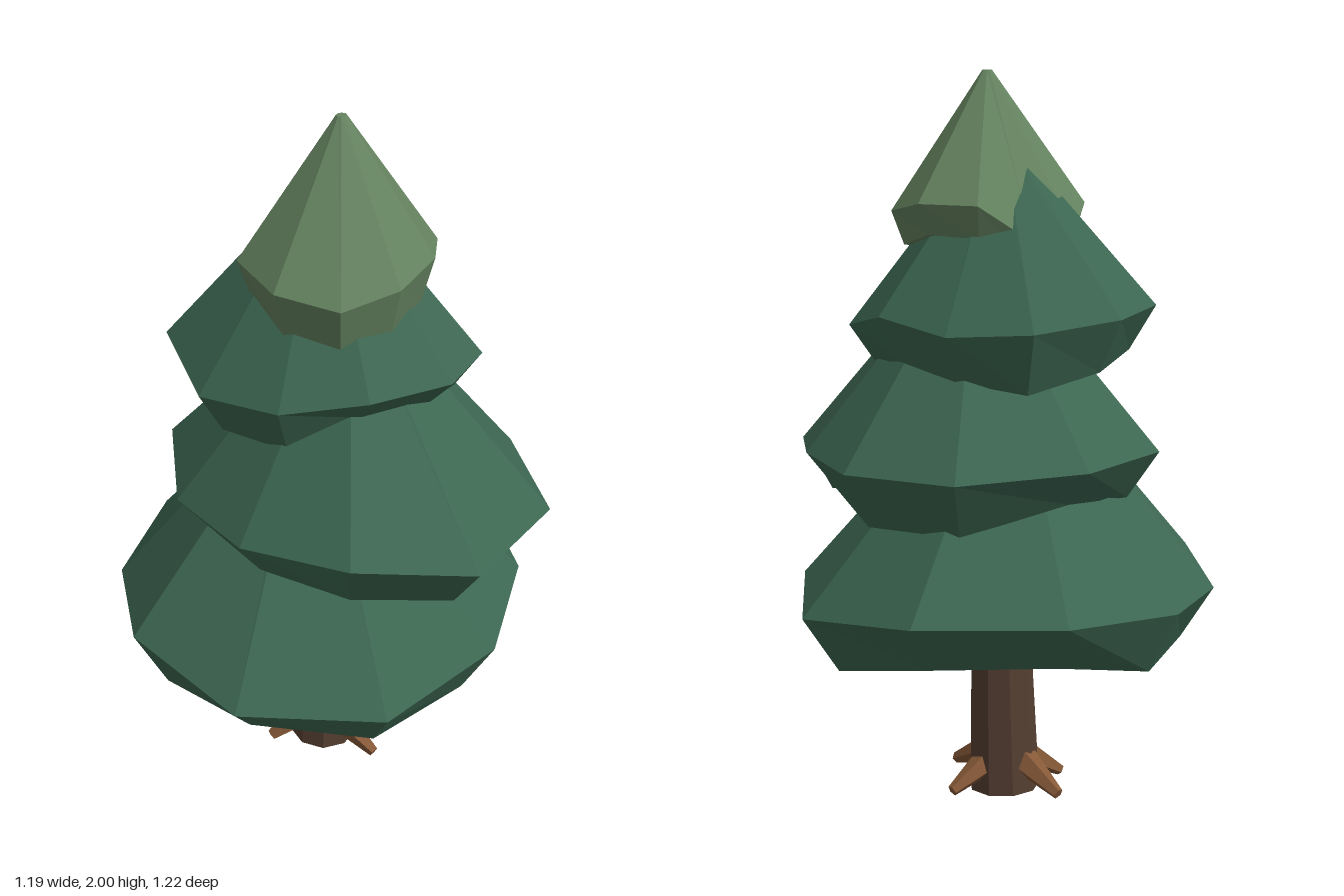
import * as THREE from 'three';

const foliage = new THREE.MeshStandardMaterial({ color: 0x3d6752 });
const crownGreen = new THREE.MeshStandardMaterial({ color: 0x658360 });
const bark = new THREE.MeshStandardMaterial({ color: 0x553f32 });
const wood = new THREE.MeshStandardMaterial({ color: 0x865938 });
Object.entries({ foliage, crownGreen, bark, wood }).forEach(([name, m]) => {
  m.name = name;
  m.flatShading = true;
});

// Faceted skirt on an uneven ten-sided rim: sloping roof, inward lip and closed underside.
// Every corner has its own radius, rim height and lip height; turn is the first corner's angle.
function tier(name, material, { x, z, turn, top, base, shrink, radii, rim, lip }) {
  const ring = (scale, height) => radii.map((r, i) => {
    const a = THREE.MathUtils.degToRad(turn + i * 36);
    return [x + r * scale * Math.cos(a), height(i), z + r * scale * Math.sin(a)];
  });
  const rings = [
    ring(0, () => top),
    ring(0.05, () => top),
    ring(1, (i) => rim[i]),
    ring(shrink, (i) => lip[i]),
    ring(0, () => base),
  ];
  const positions = [];
  for (let k = 0; k < rings.length - 1; k++) {
    for (let i = 0; i < radii.length; i++) {
      const j = (i + 1) % radii.length;
      const [a, b, c, d] = [rings[k][i], rings[k][j], rings[k + 1][j], rings[k + 1][i]];
      if (k > 0) positions.push(...a, ...b, ...d);
      if (k < rings.length - 2) positions.push(...b, ...c, ...d);
    }
  }
  const geometry = new THREE.BufferGeometry();
  geometry.setAttribute('position', new THREE.Float32BufferAttribute(positions, 3));
  geometry.computeVertexNormals();
  const mesh = new THREE.Mesh(geometry, material);
  mesh.name = name;
  return mesh;
}

// Tapered stick between two points
function stick(name, from, to, r0, r1, sides, material) {
  const a = new THREE.Vector3(...from);
  const b = new THREE.Vector3(...to);
  const dir = b.clone().sub(a);
  const mesh = new THREE.Mesh(new THREE.CylinderGeometry(r1, r0, dir.length(), sides), material);
  mesh.position.copy(a).add(b).multiplyScalar(0.5);
  mesh.quaternion.setFromUnitVectors(new THREE.Vector3(0, 1, 0), dir.normalize());
  mesh.name = name;
  return mesh;
}

export function createModel() {
  const tree = new THREE.Group();
  tree.name = 'pineTree';

  // Foliage from the bottom up
  tree.add(
    tier('bottomTier', foliage, {
      x: -0.04, z: 0, turn: 0, top: 1.25, base: 0.49, shrink: 0.84,
      radii: [0.59, 0.61, 0.64, 0.635, 0.595, 0.555, 0.56, 0.605, 0.645, 0.64],
      rim: [0.62, 0.615, 0.58, 0.595, 0.645, 0.6, 0.61, 0.63, 0.63, 0.585],
      lip: [0.49, 0.43, 0.43, 0.475, 0.44, 0.46, 0.44, 0.505, 0.5, 0.43],
    }),
    tier('middleTier', foliage, {
      x: 0.06, z: 0.03, turn: 18, top: 1.55, base: 0.88, shrink: 0.83,
      radii: [0.56, 0.556, 0.515, 0.48, 0.484, 0.525, 0.555, 0.55, 0.514, 0.478],
      rim: [0.97, 0.96, 1.02, 1.0, 0.98, 1.0, 0.99, 0.97, 0.97, 0.98],
      lip: [0.825, 0.82, 0.865, 0.88, 0.88, 0.87, 0.895, 0.82, 0.82, 0.89],
    }),
    tier('upperTier', foliage, {
      x: -0.007, z: -0.02, turn: 0, top: 1.83, base: 1.25, shrink: 0.83,
      radii: [0.417, 0.398, 0.366, 0.368, 0.394, 0.418, 0.41, 0.377, 0.355, 0.369],
      rim: [1.32, 1.365, 1.375, 1.345, 1.325, 1.38, 1.36, 1.33, 1.32, 1.36],
      lip: [1.22, 1.285, 1.3, 1.2, 1.2, 1.26, 1.22, 1.17, 1.2, 1.24],
    }),
    tier('crown', crownGreen, {
      x: 0.033, z: 0.01, turn: 18, top: 2, base: 1.55, shrink: 0.87,
      radii: [0.247, 0.25, 0.27, 0.278, 0.272, 0.252, 0.24, 0.245, 0.268, 0.262],
      rim: [1.655, 1.63, 1.605, 1.63, 1.65, 1.58, 1.55, 1.645, 1.65, 1.63],
      lip: [1.53, 1.5, 1.48, 1.5, 1.54, 1.5, 1.48, 1.56, 1.57, 1.54],
    }),
  );

  // Trunk
  const cx = -0.013, cz = 0.013;
  tree.add(stick('trunk', [cx, 0.005, cz], [0, 0.6, 0.01], 0.1, 0.08, 9, bark));

  // Four roots spreading unevenly from the trunk
  for (const [x, z] of [[0.14, 0.15], [0.12, -0.115], [-0.175, -0.11], [-0.17, 0.08]]) {
    tree.add(stick('root', [cx + x * 0.35, 0.09, cz + z * 0.35], [x, 0.028, z], 0.042, 0.016, 5, wood));
  }

  // Two side branches reaching up into the foliage
  tree.add(stick('rightBranch', [-0.04, 0.34, 0.01], [-0.21, 0.52, 0.01], 0.038, 0.034, 5, wood));
  tree.add(stick('leftBranch', [0.03, 0.34, 0.01], [0.19, 0.5, 0.01], 0.036, 0.03, 5, wood));

  return tree;
}
